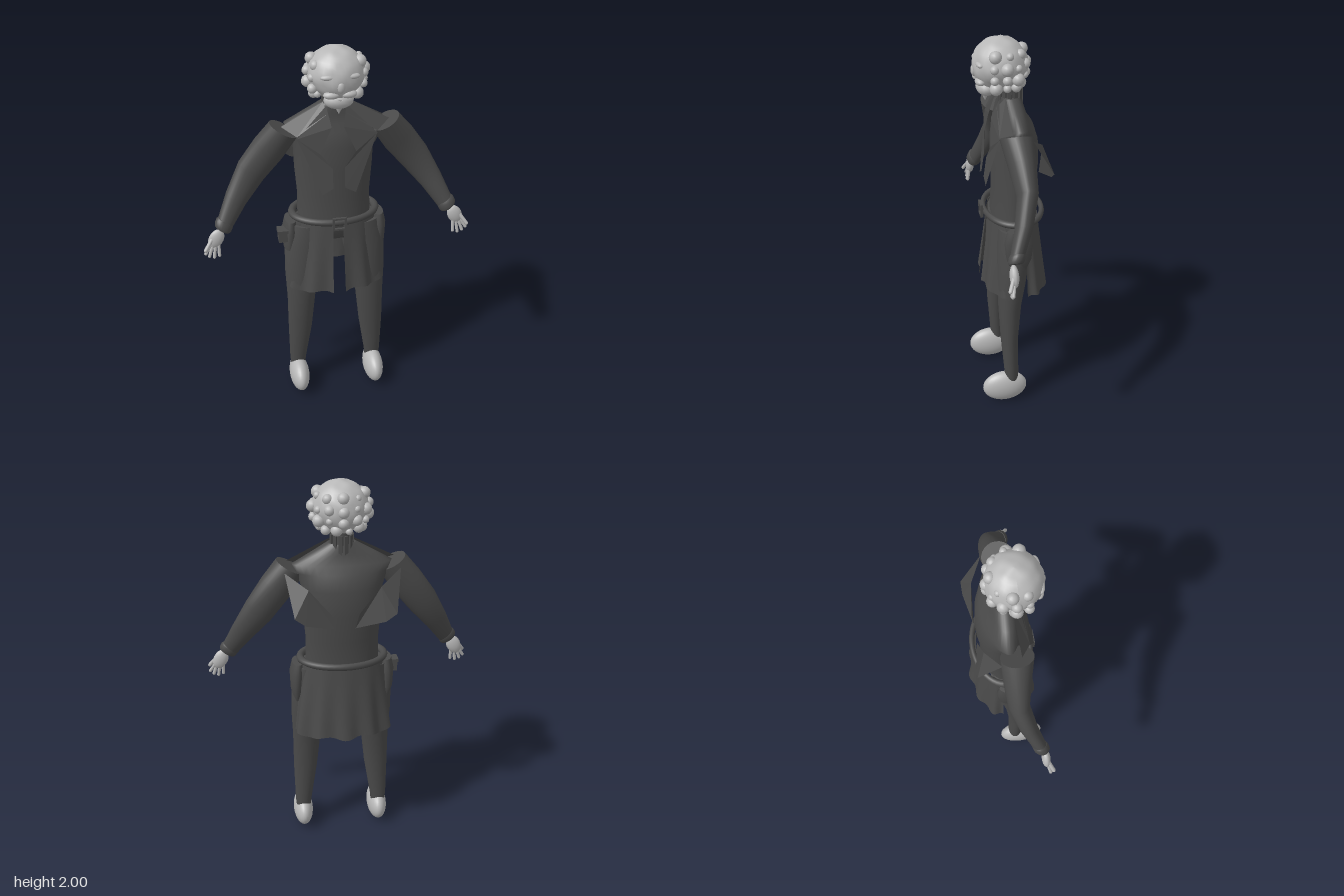
import * as THREE from 'three';

const cloth = new THREE.MeshStandardMaterial({ color: 0x4a4a4a, side: THREE.DoubleSide });
cloth.name = 'dark cloth';
const pale = new THREE.MeshStandardMaterial({ color: 0xb8b8b8 });
pale.name = 'pale skin';

// Grid of points (rows x cols) to an indexed surface
function grid(rows, cols, at, wrap = false) {
  const pos = [], idx = [];
  for (let j = 0; j < rows; j++) for (let i = 0; i < cols; i++) pos.push(...at(j, i));
  for (let j = 0; j < rows - 1; j++) {
    for (let i = 0; i < (wrap ? cols : cols - 1); i++) {
      const a = j * cols + i, b = j * cols + (i + 1) % cols;
      idx.push(a, a + cols, b, b, a + cols, b + cols);
    }
  }
  const g = new THREE.BufferGeometry();
  g.setAttribute('position', new THREE.Float32BufferAttribute(pos, 3));
  g.setIndex(idx);
  g.computeVertexNormals();
  return g;
}

// Closed loft through sections [x, y, z, halfWidth, halfDepth, tilt], lowest first
function loft(sections, seg = 24) {
  const first = sections[0], last = sections[sections.length - 1];
  const cap = s => [s[0], s[1], s[2], 0.0005, 0.0005, s[5]];
  const all = [cap(first), first, ...sections, last, cap(last)];
  return grid(all.length, seg, (j, i) => {
    const [x, y, z, a, b, t = 0] = all[j];
    const k = i / seg * Math.PI * 2, c = a * Math.cos(k);
    return [x + c * Math.cos(t), y + c * Math.sin(t), z + b * Math.sin(k)];
  }, true);
}

// Thin flat panel from corner points
function panel(points) {
  const g = new THREE.BufferGeometry();
  g.setAttribute('position', new THREE.Float32BufferAttribute(points.flat(), 3));
  const idx = [];
  for (let i = 1; i < points.length - 1; i++) idx.push(0, i, i + 1);
  g.setIndex(idx);
  const flat = g.toNonIndexed();
  flat.computeVertexNormals();
  return flat;
}

function ball(x, y, z, rx, ry = rx, rz = rx, seg = 14) {
  return new THREE.SphereGeometry(1, seg, Math.ceil(seg * 0.7)).scale(rx, ry, rz).translate(x, y, z);
}

// Capsule-like limb between two points
function finger(a, b, r) {
  const p = new THREE.Vector3(...a), q = new THREE.Vector3(...b), d = q.clone().sub(p);
  const g = new THREE.CapsuleGeometry(r, d.length(), 4, 8);
  g.applyQuaternion(new THREE.Quaternion().setFromUnitVectors(new THREE.Vector3(0, 1, 0), d.normalize()));
  const m = p.add(q).multiplyScalar(0.5);
  return g.translate(m.x, m.y, m.z);
}

function mirror(geometry) {
  let g = geometry.index ? geometry.toNonIndexed() : geometry.clone();
  for (const name of ['position', 'normal']) {
    const a = g.getAttribute(name);
    for (let i = 0; i < a.count; i += 3) {
      for (let k = 0; k < 3; k++) a.setX(i + k, -a.getX(i + k));
      const p = [a.getX(i + 1), a.getY(i + 1), a.getZ(i + 1)];
      a.setXYZ(i + 1, a.getX(i + 2), a.getY(i + 2), a.getZ(i + 2));
      a.setXYZ(i + 2, ...p);
    }
  }
  return g;
}

export function createModel() {
  const model = new THREE.Group();
  model.name = 'coatedFigure';
  const add = (name, g, m) => {
    const mesh = new THREE.Mesh(g, m);
    mesh.name = name;
    model.add(mesh);
  };
  const pair = (name, g, m) => { add(name + 'Left', g, m); add(name + 'Right', mirror(g), m); };

  // Torso, sloping up to the neck
  add('torso', loft([
    [0, 1.03, -0.01, 0.19, 0.11], [0, 1.1, -0.01, 0.19, 0.11], [0, 1.2, -0.015, 0.188, 0.108],
    [0, 1.35, -0.02, 0.2, 0.118], [0, 1.48, -0.02, 0.205, 0.115], [0, 1.56, -0.015, 0.23, 0.095],
    [0, 1.6, -0.01, 0.25, 0.07], [0, 1.65, -0.005, 0.16, 0.06], [0, 1.7, 0, 0.07, 0.05],
  ], 32), cloth);
  add('hips', loft([[0, 0.95, 0, 0.2, 0.07], [0, 1, 0, 0.235, 0.1], [0, 1.06, 0, 0.22, 0.11]]), cloth);

  // Neck ringed with upright strips
  add('neck', new THREE.CylinderGeometry(0.045, 0.05, 0.17, 16).translate(0, 1.67, -0.005), cloth);
  for (let i = 0; i < 12; i++) {
    const t = (i + 0.5) / 12 * Math.PI * 2;
    add('neckStrip', new THREE.BoxGeometry(0.018, 0.12, 0.01).rotateY(t)
      .translate(0.055 * Math.sin(t), 1.685, -0.005 + 0.055 * Math.cos(t)), cloth);
  }

  // Lapels in front and cape flaps behind
  pair('lapel', panel([[0.05, 1.7, 0.06], [0.03, 1.6, 0.1], [0.09, 1.47, 0.115], [0.03, 1.39, 0.125],
    [0.03, 1.285, 0.14], [0.085, 1.255, 0.14], [0.2, 1.55, 0.09]].reverse()), cloth);
  pair('collarFlap', panel([[0.06, 1.71, 0.03], [0.05, 1.66, 0.075], [0.2, 1.56, 0.09], [0.27, 1.6, 0.04]]), cloth);
  pair('backFlap', panel([[0.18, 1.5, -0.125], [0.29, 1.57, -0.055], [0.255, 1.37, -0.17],
    [0.2, 1.33, -0.17], [0.05, 1.29, -0.14], [0.07, 1.37, -0.145]]), cloth);

  // Sleeves and cuffs
  pair('sleeve', loft([
    [0.578, 1.105, 0.085, 0.043, 0.034, 0.7], [0.505, 1.23, 0.035, 0.06, 0.045, 0.66],
    [0.42, 1.357, 0, 0.08, 0.052, 0.72], [0.33, 1.475, 0.008, 0.086, 0.068, 0.7],
    [0.255, 1.578, 0.02, 0.078, 0.08, 0.507],
  ]), cloth);
  pair('cuff', loft([[0.588, 1.09, 0.09, 0.042, 0.034, 0.6], [0.583, 1.1, 0.088, 0.048, 0.04, 0.6],
    [0.573, 1.12, 0.082, 0.048, 0.04, 0.6], [0.567, 1.13, 0.08, 0.042, 0.034, 0.6]]), cloth);

  // Hands
  pair('palm', ball(0, 0, 0, 0.038, 0.056, 0.022).rotateZ(0.45).translate(0.622, 1.045, 0.105), pale);
  for (const [x, tx, ty] of [[0.612, 0.612, 0.955], [0.627, 0.638, 0.947], [0.64, 0.662, 0.955], [0.65, 0.68, 0.972]]) {
    pair('finger', finger([x, 1.02, 0.11], [tx, ty, 0.12], 0.0085), pale);
  }
  pair('thumb', finger([0.64, 1.055, 0.11], [0.68, 1.0, 0.135], 0.01), pale);

  // Loose belt with an open buckle
  add('belt', new THREE.TorusGeometry(1, 0.09, 10, 48).scale(0.218, 0.148, 0.2)
    .rotateX(Math.PI / 2).translate(0, 1.085, -0.012), cloth);
  for (const s of [-1, 1]) {
    add('buckleSide', new THREE.BoxGeometry(0.01, 0.07, 0.014).translate(s * 0.03, 1.085, 0.152), cloth);
    add('buckleBar', new THREE.BoxGeometry(0.07, 0.01, 0.014).translate(0, 1.085 + s * 0.03, 0.152), cloth);
  }

  // Fluted coat skirt, split at the front and sides
  const skirt = (from, to, cols) => grid(8, cols, (j, i) => {
    const t = from + (to - from) * i / (cols - 1), d = 1 - j / 7;
    const w = 1 + 0.05 * d * Math.cos(t * 12);
    return [(0.215 + 0.055 * d) * w * Math.sin(t), 1.065 - (0.39 + 0.008 * Math.cos(t * 8)) * d,
      -0.01 + (0.128 + 0.045 * d) * w * Math.cos(t)];
  });
  pair('frontSkirt', skirt(0.12, 1.12, 24), cloth);
  add('backSkirt', skirt(1.78, Math.PI * 2 - 1.78, 56), cloth);

  // Hip pockets and a pouch on the right
  pair('hipPocket', loft([[0.235, 0.84, 0, 0.015, 0.04], [0.237, 0.9, 0, 0.032, 0.065],
    [0.235, 1.0, 0, 0.038, 0.075], [0.23, 1.06, 0, 0.03, 0.06]], 16), cloth);
  add('pouch', new THREE.BoxGeometry(0.045, 0.06, 0.05).translate(-0.277, 0.985, 0.04), cloth);
  add('pouchLid', new THREE.BoxGeometry(0.055, 0.018, 0.06).translate(-0.277, 1.015, 0.04), cloth);

  // Trouser legs and egg-shaped shoes
  pair('leg', loft([
    [0.21, 0.14, 0.033, 0.04, 0.034], [0.21, 0.18, 0.033, 0.044, 0.037], [0.195, 0.4, 0.042, 0.064, 0.046],
    [0.185, 0.6, 0.038, 0.075, 0.06], [0.172, 0.75, 0.025, 0.095, 0.075], [0.15, 0.93, 0.01, 0.115, 0.088],
    [0.13, 1.04, 0, 0.11, 0.09],
  ]), cloth);
  pair('shoe', ball(0.21, 0.092, 0.07, 0.053, 0.088, 0.12, 28), pale);

  // Head with a lumpy surface, narrowing to the chin
  const head = new THREE.SphereGeometry(1, 40, 28), p = head.getAttribute('position');
  for (let i = 0; i < p.count; i++) {
    const x = p.getX(i), y = p.getY(i), z = p.getZ(i);
    const bump = 1 + 0.025 * Math.sin(9 * x + 1) * Math.sin(8 * y) * Math.cos(7 * z);
    const taper = y < 0 ? 1 + 0.25 * y : 1;
    p.setXYZ(i, x * 0.142 * taper * bump, 1.862 + y * 0.135 * bump, 0.048 + z * 0.137 * bump);
  }
  head.computeVertexNormals();
  add('head', head, pale);
  add('nose', ball(0, 1.84, 0.175, 0.02, 0.03, 0.017), pale);
  add('beard', ball(0, 1.755, 0.118, 0.075, 0.045, 0.05), pale);
  add('beardTip', new THREE.ConeGeometry(0.045, 0.09, 14).rotateX(Math.PI).translate(0, 1.725, 0.122), pale);
  pair('moustache', ball(0.04, 1.795, 0.152, 0.042, 0.02, 0.026), pale);
  pair('brow', ball(0.055, 1.885, 0.155, 0.04, 0.015, 0.02), pale);

  // Curls around the sides and back
  for (const [y, r, n] of [[1.93, 0.118, 7], [1.875, 0.138, 9], [1.82, 0.136, 9], [1.77, 0.107, 8]]) {
    for (let i = 0; i < n; i++) {
      const t = Math.PI * (0.36 + 1.28 * i / (n - 1));
      const s = 0.025 + 0.007 * Math.sin(i * 2.3 + y * 40);
      add('curl', ball(r * Math.sin(t), y + 0.009 * Math.sin(i * 3), 0.045 + r * 0.88 * Math.cos(t), s), pale);
    }
  }
  return model;
}
